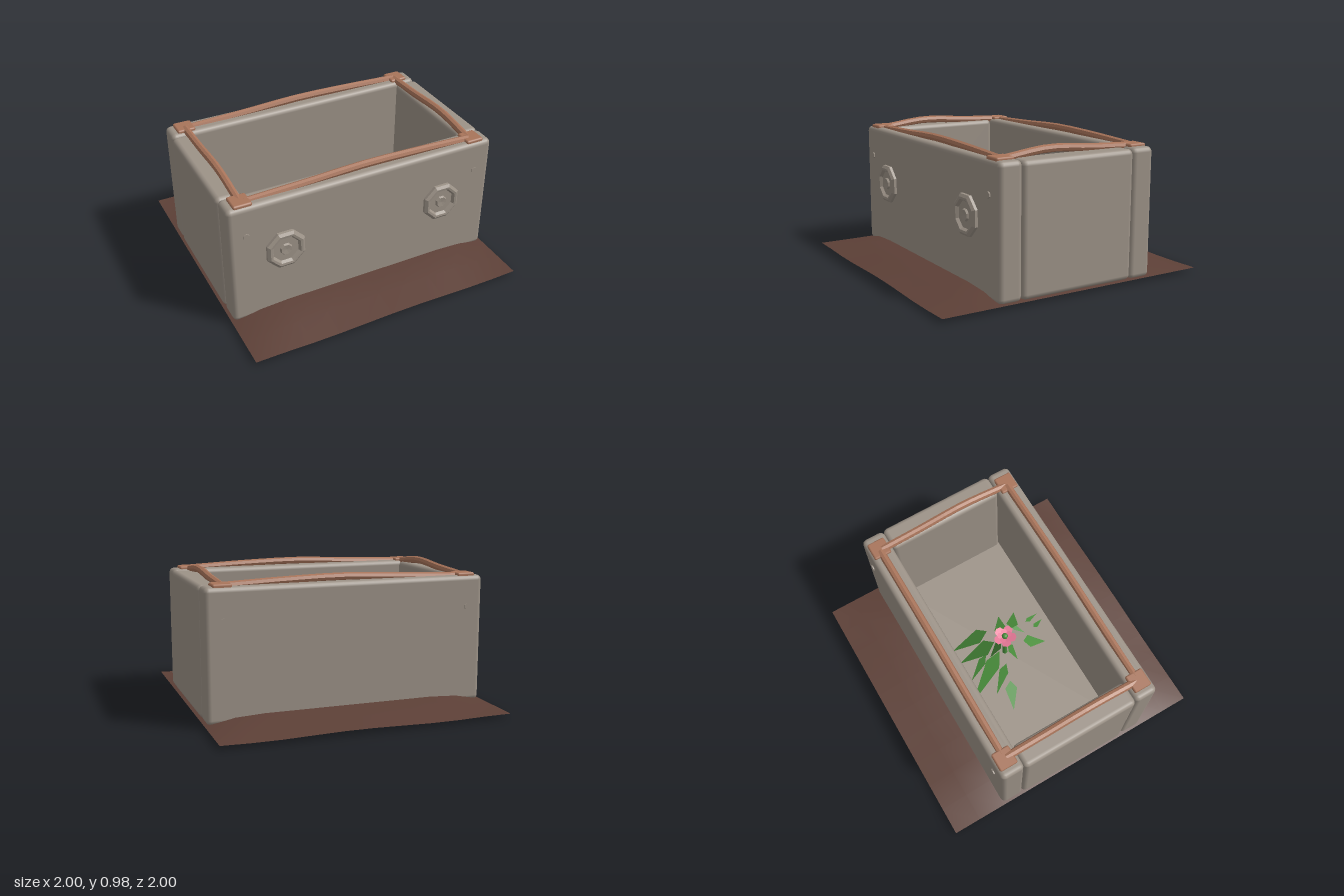
import * as THREE from 'three';
import { RoundedBoxGeometry } from 'three/addons/geometries/RoundedBoxGeometry.js';

const mat = (name, color, side = THREE.FrontSide) => {
  const m = new THREE.MeshStandardMaterial({ color, side });
  m.name = name;
  return m;
};

const flat = (geometry) => {
  const g = geometry.index ? geometry.toNonIndexed() : geometry;
  g.computeVertexNormals();
  return g;
};

export function createModel() {
  const stone = mat('stone', 0x9c9287);
  const copper = mat('copper', 0xa8745a);
  const soil = mat('soil', 0x5d4037, THREE.DoubleSide);
  const green = mat('leafGreen', 0x4a8f3c, THREE.DoubleSide);
  const pink = mat('petalPink', 0xee7c9c, THREE.DoubleSide);

  const model = new THREE.Group();
  model.name = 'planter';
  const add = (name, geometry, material, x = 0, y = 0, z = 0, parent = model) => {
    const mesh = new THREE.Mesh(geometry, material);
    mesh.name = name;
    mesh.position.set(x, y, z);
    parent.add(mesh);
    return mesh;
  };

  // Stone slabs forming the box
  for (const s of [1, -1]) {
    add(s > 0 ? 'frontSlab' : 'backSlab', new RoundedBoxGeometry(1.97, 0.895, 0.17, 2, 0.035), stone, 0, 0.4725, s * 0.512);
    add(s > 0 ? 'leftSlab' : 'rightSlab', new RoundedBoxGeometry(0.175, 0.885, 0.86, 2, 0.035), stone, s * 0.903, 0.4725, 0);
  }
  add('floor', new THREE.BoxGeometry(1.7, 0.07, 0.9), stone, 0, 0.07, 0);

  // Copper corner caps on top and feet below
  for (const x of [-0.867, 0.86]) {
    for (const z of [-0.515, 0.515]) {
      add('cornerCap', new RoundedBoxGeometry(0.13, 0.05, 0.13, 1, 0.012), copper, x, 0.912, z);
      add('foot', new RoundedBoxGeometry(0.13, 0.05, 0.13, 1, 0.012), copper, x, 0.027, z);
    }
  }

  // Gently bowed copper rails: points are [distance along rail, height]
  const rail = (name, points, place) => {
    const path = new THREE.CatmullRomCurve3(points.map(([t, y]) => place(t, y)));
    add(name, flat(new THREE.TubeGeometry(path, 10, 0.027, 8)), copper);
  };
  const longRail = [[-0.84, 0.91], [-0.4, 0.925], [0, 0.943], [0.4, 0.936], [0.84, 0.917]];
  const shortRail = [[0.5, 0.912], [0.16, 0.951], [-0.2, 0.929], [-0.5, 0.916]];
  for (const z of [0.515, -0.515]) rail(z > 0 ? 'frontRail' : 'backRail', longRail, (t, y) => new THREE.Vector3(t, y, z));
  for (const x of [0.85, -0.863]) rail(x > 0 ? 'leftRail' : 'rightRail', shortRail, (t, y) => new THREE.Vector3(x, y, t));

  // Octagonal rosettes on the front
  const profile = [[0.145, 0], [0.145, 0.022], [0.125, 0.036], [0.108, 0.034], [0.095, 0.014], [0.045, 0.014], [0.038, 0.028], [0, 0.024]]
    .map(([r, h]) => new THREE.Vector2(r, h));
  const rosette = flat(new THREE.LatheGeometry(profile, 8, Math.PI / 8).rotateX(Math.PI / 2));
  for (const x of [-0.6, 0.59]) add('rosette', rosette, stone, x, 0.525, 0.595);

  // Small hexagonal bolts on front and back
  const bolt = flat(new THREE.CylinderGeometry(0.022, 0.022, 0.02, 6).rotateX(Math.PI / 2));
  for (const x of [-0.865, 0.858]) for (const z of [0.596, -0.596]) add('bolt', bolt, stone, x, 0.703, z);

  // Soil sheet mounded towards the box
  const sheet = new THREE.PlaneGeometry(2, 2, 10, 10).rotateX(-Math.PI / 2);
  const p = sheet.attributes.position;
  for (let i = 0; i < p.count; i++) {
    const fx = Math.min(1, (1 - Math.abs(p.getX(i))) / 0.25);
    const fz = Math.min(1, (1 - Math.abs(p.getZ(i))) / 0.4);
    const wave = 0.006 * Math.sin(p.getX(i) * 5 + 1) * (1 - fz);
    p.setY(i, 0.028 + 0.052 * fx * fz + wave * fx);
  }
  sheet.computeVertexNormals();
  add('soilSheet', sheet, soil);

  // Plant: stem and drooping pointed leaves, each [baseX, baseZ, tipX, tipZ, halfWidth, baseY]
  const plant = new THREE.Group();
  plant.name = 'plant';
  model.add(plant);
  add('stem', new THREE.CylinderGeometry(0.016, 0.02, 0.4, 8), green, 0, 0.225, 0, plant);
  const leaves = [
    [-0.06, -0.08, -0.24, -0.42, 0.055, 0.38], [-0.01, -0.17, -0.08, -0.34, 0.03, 0.3],
    [0.02, -0.08, 0.08, -0.35, 0.06, 0.38], [0.13, -0.08, 0.2, -0.35, 0.055, 0.36],
    [-0.14, -0.07, -0.27, -0.23, 0.035, 0.28], [-0.25, -0.1, -0.44, -0.18, 0.045, 0.2],
    [0.08, 0.02, 0.27, 0.1, 0.05, 0.26], [0.1, 0.12, 0.24, 0.22, 0.045, 0.22],
    [-0.04, 0.14, -0.09, 0.31, 0.05, 0.24], [0.04, 0.28, 0.08, 0.38, 0.02, 0.16],
    [0.11, 0.25, 0.14, 0.37, 0.018, 0.16], [0.13, 0.13, 0.05, 0.21, 0.022, 0.2],
    [-0.03, 0.01, -0.11, 0.05, 0.03, 0.33], [0, -0.03, 0, -0.13, 0.035, 0.4],
  ];
  for (const [bx, bz, tx, tz, w, by] of leaves) {
    const base = new THREE.Vector3(bx, by, bz);
    const tip = new THREE.Vector3(tx, Math.max(0.115, by - 0.25), tz);
    const across = new THREE.Vector3(bz - tz, 0, tx - bx).normalize().multiplyScalar(w);
    const mid = base.clone().lerp(tip, 0.25);
    const a = mid.clone().add(across), b = mid.clone().sub(across);
    const g = new THREE.BufferGeometry().setFromPoints([base, a, tip, base, tip, b]);
    g.computeVertexNormals();
    // Keep the leaf's outer face upwards
    if (g.attributes.normal.getY(0) < 0) {
      g.setFromPoints([base, tip, a, base, b, tip]);
      g.computeVertexNormals();
    }
    add('leaf', g, green, 0, 0, 0, plant);
  }

  // Flower: two rings of five petals around a green centre
  const petalShape = new THREE.Shape([[0, 0], [0.034, 0.05], [0.03, 0.075], [0, 0.088], [-0.03, 0.075], [-0.034, 0.05]]
    .map(([x, y]) => new THREE.Vector2(x, y)));
  const petal = new THREE.ShapeGeometry(petalShape).rotateX(-Math.PI / 2 + 0.25);
  for (let i = 0; i < 10; i++) {
    const inner = i >= 5;
    const m = add('petal', petal, pink, 0, inner ? 0.438 : 0.425, 0, plant);
    m.rotation.y = (i * 2 * Math.PI) / 5 + (inner ? Math.PI / 5 : 0);
    m.scale.setScalar(inner ? 0.65 : 1);
  }
  add('flowerCentre', new THREE.SphereGeometry(0.024, 8, 6), green, 0, 0.45, 0, plant);

  return model;
}
